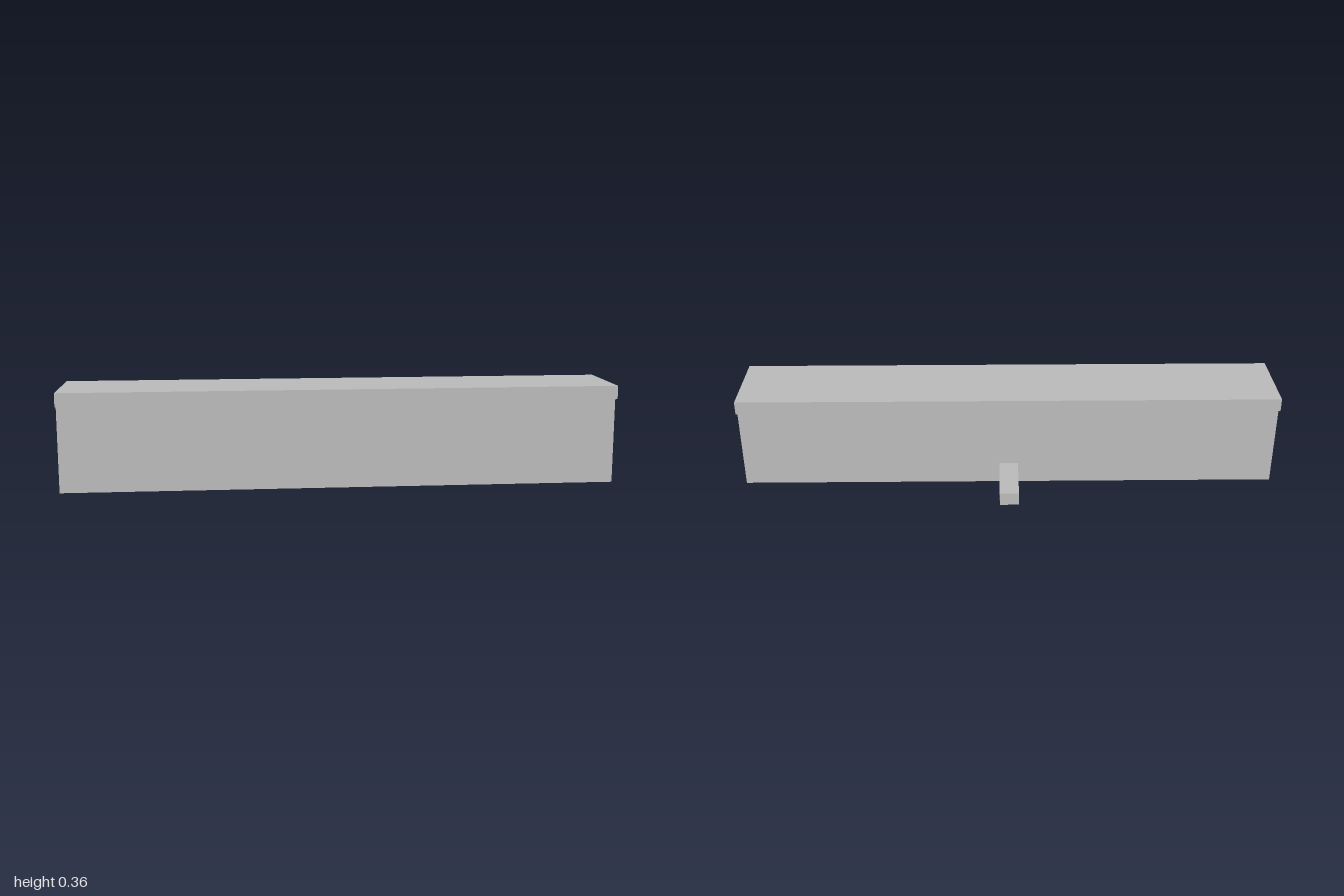
import * as THREE from 'three';

export function createModel() {
  const model = new THREE.Group();
  model.name = 'cappedBeam';

  const grey = new THREE.MeshStandardMaterial({ color: 0xbbbbbb });
  grey.name = 'plain grey';

  // Beam with overhanging cap: one T profile (z, y) swept along x
  const profile = new THREE.Shape([
    [-0.218, 0], [0.031, 0], [0.031, 0.312], [0.057, 0.312],
    [0.057, 0.361], [-0.243, 0.361], [-0.243, 0.312], [-0.218, 0.312],
  ].map(([x, y]) => new THREE.Vector2(x, y)));
  const beamGeometry = new THREE.ExtrudeGeometry(profile, { depth: 2, bevelEnabled: false });
  beamGeometry.translate(0, 0, -1).rotateY(Math.PI / 2);
  const beam = new THREE.Mesh(beamGeometry, grey);
  beam.name = 'cappedBody';
  model.add(beam);

  // Short peg sticking out of the back
  const peg = new THREE.Mesh(new THREE.BoxGeometry(0.07, 0.049, 0.212), grey);
  peg.name = 'backPeg';
  peg.position.set(0, 0.056, -0.137);
  model.add(peg);

  return model;
}
